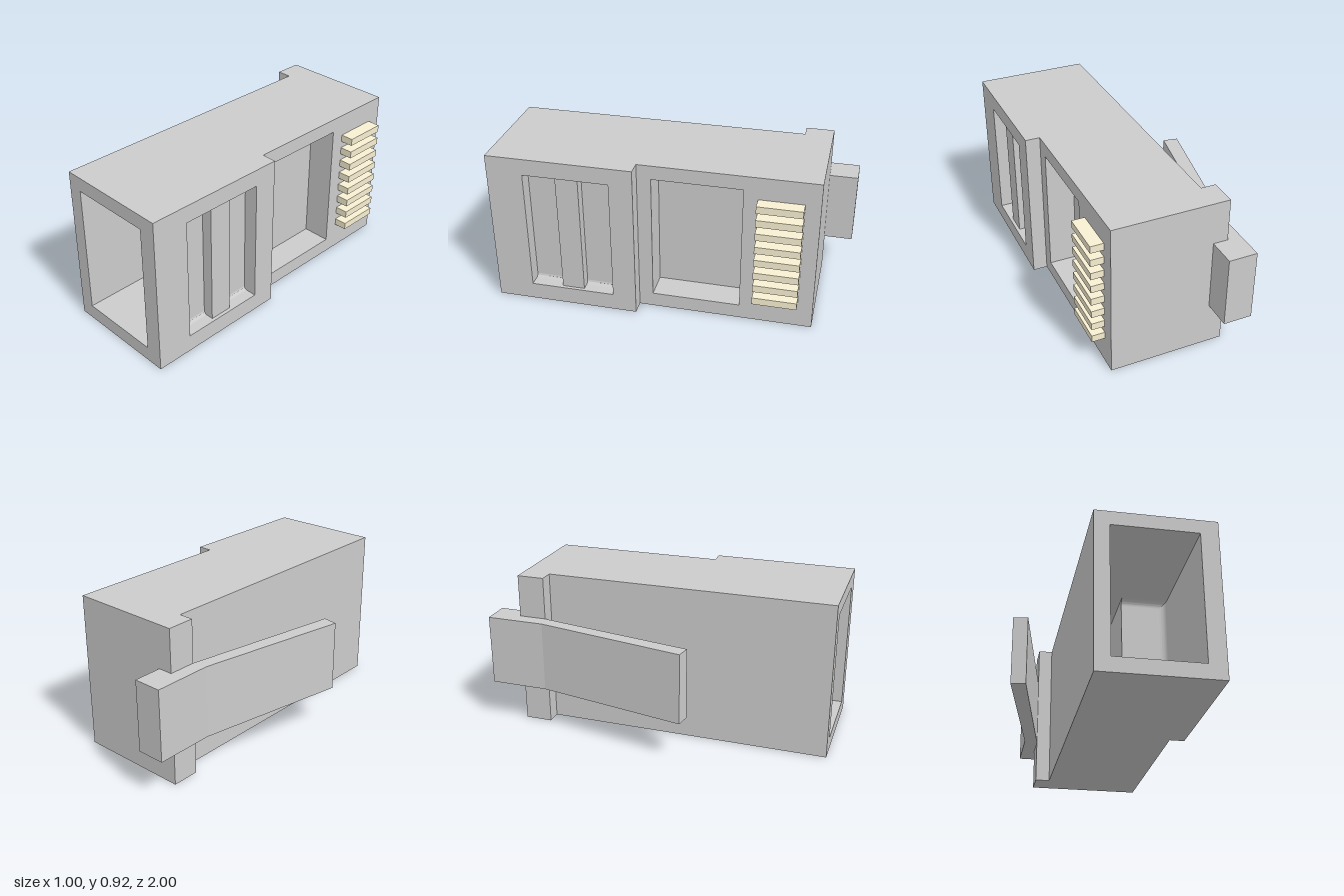
import * as THREE from 'three';
import { toCreasedNormals } from 'three/addons/utils/BufferGeometryUtils.js';

const grey = new THREE.MeshStandardMaterial({ color: 0xcccccc });
const brass = new THREE.MeshStandardMaterial({ color: 0xf8f0d2 });

// Extrude an outline of [x, z] points upwards from y0 to y1
function slab(name, points, y0, y1, material = grey) {
  const shape = new THREE.Shape(points.map(([x, z]) => new THREE.Vector2(x, -z)));
  const geo = new THREE.ExtrudeGeometry(shape, { depth: y1 - y0, bevelEnabled: false });
  geo.rotateX(-Math.PI / 2).translate(0, y0, 0);
  const mesh = new THREE.Mesh(geo, material);
  mesh.name = name;
  return mesh;
}

// Concave fillet in the corner between directions u and v, running along u x v
function fillet(name, origin, u, v, length, r) {
  const s = new THREE.Shape();
  s.moveTo(0, 0);
  s.lineTo(r, 0);
  s.absarc(r, r, r, -Math.PI / 2, -Math.PI, true);
  s.closePath();
  const geo = new THREE.ExtrudeGeometry(s, { depth: length, bevelEnabled: false, curveSegments: 8 });
  const U = new THREE.Vector3(...u), V = new THREE.Vector3(...v);
  geo.applyMatrix4(new THREE.Matrix4().makeBasis(U, V, U.clone().cross(V)).setPosition(...origin));
  const mesh = new THREE.Mesh(toCreasedNormals(geo, 0.6), grey);
  mesh.name = name;
  return mesh;
}

export function createModel() {
  const group = new THREE.Group();
  group.name = 'modularPlug';

  const height = 0.917, low = 0.085, high = 0.835;
  const endZ = 0.25, innerX = 0.4, floorX = 0.417;

  // Outer outline, stepped on the contact side and lipped at the latch
  const backEdge = [
    [0.415, -0.835], [-0.25, -0.835], [-0.25, -0.675], [-0.165, -0.675], [-0.165, 1],
  ];
  const outline = [[0.5, 1], [0.5, 0.165], [0.415, 0.165], ...backEdge];

  // Recess with a raised crimp bar
  const recess = [
    [0.5, 0.79], [floorX, 0.79], [floorX, 0.61], [0.48, 0.61],
    [0.48, 0.48], [floorX, 0.48], [floorX, 0.3], [0.5, 0.3],
  ];
  const pocket = [[0.415, 0.085], [0.25, 0.085], [0.25, -0.42], [0.415, -0.42]];
  // Cable cavity: wide at the mouth, narrow channel behind
  const cavity = [
    [-0.08, 1], [-0.08, -0.79], [0.13, -0.79], [0.13, endZ], [innerX, endZ], [innerX, 1],
  ];

  group.add(slab('lowerWall', outline, 0, low));
  group.add(slab('upperWall', outline, high, height));
  group.add(slab('housing', [
    [0.5, 1], ...recess, [0.5, 0.165], [0.415, 0.165], ...pocket, ...backEdge, ...cavity,
  ], low, high));

  // Recess ends and their fillets
  group.add(slab('recessLowerEnd', recess, low, 0.1));
  group.add(slab('recessUpperEnd', recess, 0.82, high));
  for (const [z, length] of [[0.3, 0.18], [0.61, 0.18]]) {
    group.add(fillet('recessLowerFillet', [floorX, 0.1, z], [1, 0, 0], [0, 1, 0], length, 0.02));
    group.add(fillet('recessUpperFillet', [floorX, 0.82, z], [0, -1, 0], [1, 0, 0], length, 0.02));
  }

  // Fillets around the cavity's end wall
  const w = innerX - 0.13, r = 0.04;
  group.add(fillet('cavityLowerFillet', [innerX, low, endZ], [0, 0, 1], [0, 1, 0], w, r));
  group.add(fillet('cavityUpperFillet', [innerX, high, endZ], [0, -1, 0], [0, 0, 1], w, r));
  group.add(fillet('cavitySideFillet', [innerX, low, endZ], [-1, 0, 0], [0, 0, 1], high - low, r));

  // Latch: root block behind the body and a sloping arm
  group.add(slab('latch', [
    [-0.165, -1], [-0.33, -1], [-0.33, -0.66], [-0.5, 0.23],
    [-0.415, 0.245], [-0.25, -0.67], [-0.25, -0.835], [-0.165, -0.835],
  ], 0.252, 0.668));

  // Row of blade contacts with slanted tips
  const blade = [[0.49, -0.5], [0.49, -0.75], [-0.035, -0.75], [-0.035, -0.57], [0, -0.5]];
  for (let i = 0; i < 8; i++) {
    const y = 0.181 + i * 0.0835;
    group.add(slab('contact', blade, y - 0.021, y + 0.021, brass));
  }
  return group;
}
